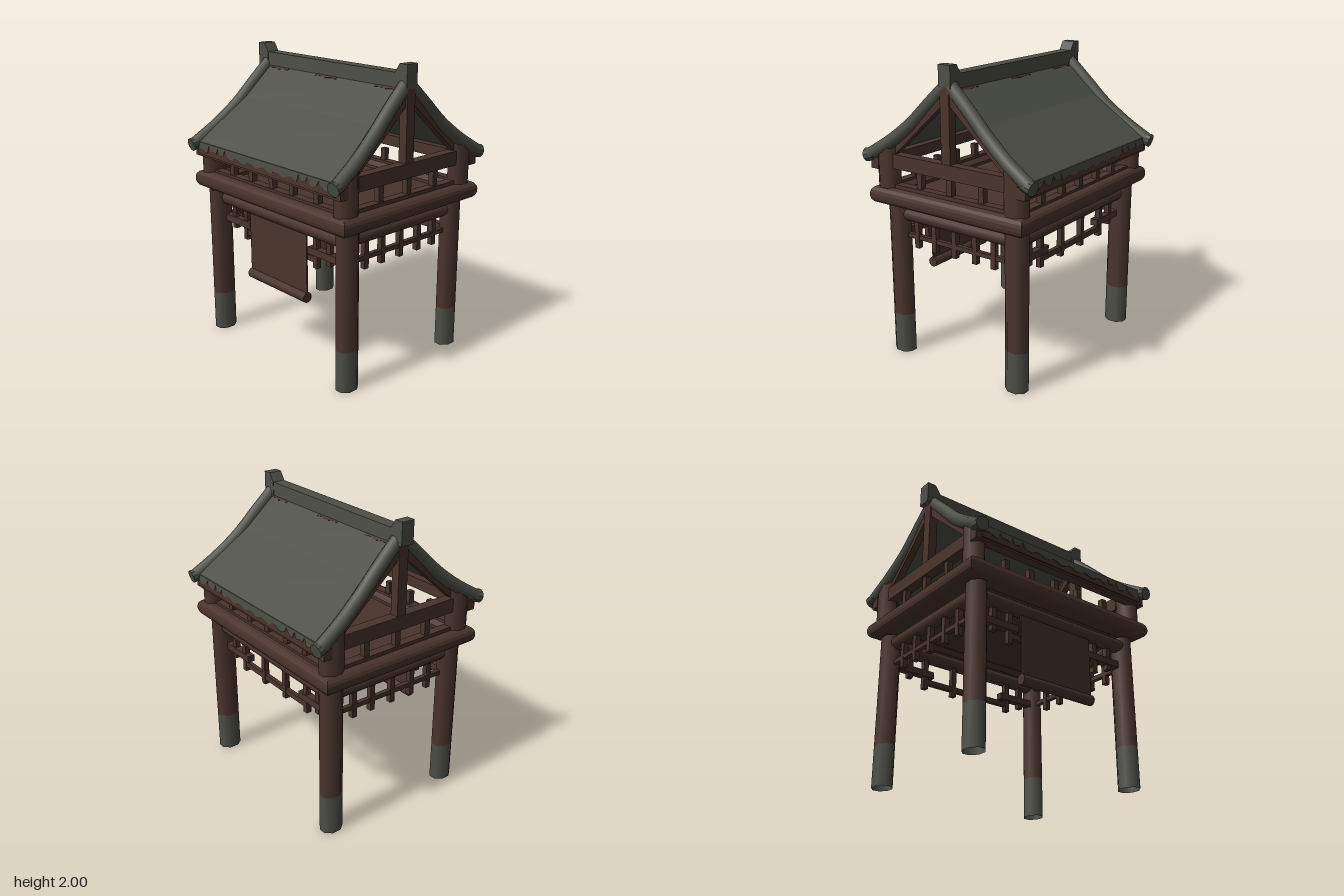
import * as THREE from 'three';

export function createModel() {
  const root = new THREE.Group();
  const wood = new THREE.MeshStandardMaterial({ color: 0x4b342c, side: THREE.DoubleSide });
  wood.name = 'dark brown wood';
  const slate = new THREE.MeshStandardMaterial({ color: 0x4d4f47, side: THREE.DoubleSide });
  slate.name = 'grey green slate';

  // helpers: mesh, box by its limits, upright post, lying beam, extruded outline
  function add(name, geometry, material, smooth = false) {
    const g = smooth || !geometry.index ? geometry : geometry.toNonIndexed();
    if (!smooth) g.computeVertexNormals();
    const mesh = new THREE.Mesh(g, material);
    mesh.name = name;
    root.add(mesh);
    return mesh;
  }
  function box(name, x0, x1, y0, y1, z0, z1, material = wood) {
    const m = add(name, new THREE.BoxGeometry(Math.abs(x1 - x0), y1 - y0, Math.abs(z1 - z0)), material);
    m.position.set((x0 + x1) / 2, (y0 + y1) / 2, (z0 + z1) / 2);
    return m;
  }
  function post(name, width, height, depth, x, y, z, material = wood) {
    const k = 1 / Math.cos(Math.PI / 8);
    const g = new THREE.CylinderGeometry(0.5, 0.5, 1, 8, 1, true).rotateY(Math.PI / 8);
    const m = add(name, g.scale(width * k, height, depth * k), material, true);
    m.position.set(x, y + height / 2, z);
    return m;
  }
  function beam(name, radius, length, alongX, x, y, z) {
    const g = new THREE.CylinderGeometry(radius, radius, length, 12).rotateZ(Math.PI / 2);
    if (!alongX) g.rotateY(Math.PI / 2);
    add(name, g, wood, true).position.set(x, y, z);
  }
  function extrude(points, depth) {
    const shape = new THREE.Shape(points.map(p => new THREE.Vector2(p[0], p[1])));
    const g = new THREE.ExtrudeGeometry(shape, { depth, bevelEnabled: false });
    return g.translate(0, 0, -depth / 2);
  }

  // four hollow legs with slate coloured feet
  for (const sx of [-1, 1]) for (const sz of [-1, 1]) {
    const z = sz < 0 ? -0.483 : (sx < 0 ? 0.49 : 0.46);
    post('legFoot', 0.12, 0.275, 0.147, sx * 0.625, 0, z, slate);
    post('leg', 0.12, 0.77, 0.147, sx * 0.625, 0.275, z);
  }

  // round lower beams between the legs
  for (const sz of [-1, 1]) beam('lowerBeam', 0.047, 1.19, true, 0.01, 0.985, sz * 0.475);
  for (const sx of [-1, 1]) beam('sideLowerBeam', 0.047, 0.9, false, sx * 0.615, 0.988, 0.03);

  // hanging lattice, sides
  for (const sx of [-1, 1]) {
    box('sideLatticeRail', sx * 0.605, sx * 0.635, 0.83, 0.86, -0.42, 0.46);
    for (const z of [-0.31, -0.165, 0, 0.165, 0.31])
      box('sideLatticeStick', sx * 0.602, sx * 0.638, 0.77, 0.99, z - 0.018, z + 0.018);
  }
  // hanging lattice, front and back
  for (const sz of [-1, 1]) {
    const z = sz * 0.465;
    for (const sx of [-1, 1]) {
      box('latticeRail', sx * 0.295, sx * 0.58, 0.82, 0.867, z - 0.025, z + 0.025);
      for (const [x, y] of [[0.48, 0.785], [0.355, 0.735], [0.12, 0.735]])
        box('latticeStick', sx * (x - 0.018), sx * (x + 0.018), y, 0.96, z - 0.018, z + 0.018);
    }
    box('lowLatticeRail', -0.37, 0.37, 0.77, 0.807, z - 0.014, z + 0.014);
  }

  // hanging cloth with its bottom roll
  box('cloth', -0.283, 0.29, 0.51, 0.96, 0.486, 0.496);
  beam('clothRoll', 0.035, 0.576, true, 0.003, 0.516, 0.491);

  // mitred frame with a rounded section
  const section = [[0.48, 1.055], [0.572, 1.055], [0.588, 1.063], [0.6, 1.08], [0.605, 1.1], [0.605, 1.125],
    [0.6, 1.145], [0.588, 1.162], [0.572, 1.17], [0.48, 1.17], [0.45, 1.14], [0.45, 1.085], [0.48, 1.055]];
  const ring = new THREE.LatheGeometry(
    section.map(([r, y]) => new THREE.Vector2(r * Math.SQRT2, y)), 4, Math.PI / 4);
  add('frame', ring.scale(1.24, 1, 1), wood);
  box('ceiling', -0.6, 0.6, 1.09, 1.12, -0.48, 0.48);

  // upper corner posts, cut to the roof slope, and railings
  for (const sx of [-1, 1]) for (const sz of [-1, 1]) {
    const corner = post('upperPost', 0.12, 0.28, 0.155, sx * 0.66, 1.165, sz * 0.505);
    const p = corner.geometry.attributes.position;
    for (let i = 0; i < p.count; i++) if (p.getY(i) > 0) p.setY(i, 0.13 - sz * p.getZ(i) * 0.8);
  }
  for (const sz of [-1, 1]) {
    box('railing', -0.61, 0.61, 1.16, 1.187, sz * 0.48, sz * 0.54);
    for (const x of [-0.42, -0.22, -0.01, 0.19, 0.42])
      box('railingPost', x - 0.02, x + 0.02, 1.18, 1.272, sz * 0.49, sz * 0.53);
    box('eaveBeam', -0.72, 0.72, 1.285, 1.36, sz * 0.545, sz * 0.608);
    box('eaveBoard', -0.68, 0.68, 1.3, 1.386, sz * 0.608, sz * 0.617);
  }

  // gable ends: rail, tie beam, king post and rafters
  for (const sx of [-1, 1]) {
    box('gableRail', sx * 0.63, sx * 0.69, 1.16, 1.195, -0.44, 0.44);
    for (const z of [-0.255, -0.01, 0.235])
      box('gableRailPost', sx * 0.64, sx * 0.68, 1.19, 1.31, z - 0.02, z + 0.02);
    box('tieBeam', sx * 0.625, sx * 0.695, 1.3, 1.395, -0.44, 0.44);
    box('kingPost', sx * 0.63, sx * 0.69, 1.38, 1.87, -0.032, 0.038);
    for (const sz of [-1, 1]) {
      const rafter = extrude([[0, 1.87], [0, 1.78], [0.44, 1.385], [0.5, 1.43], [0.26, 1.64]]
        .map(([z, y]) => [sz * z, y]), 0.05).rotateY(-Math.PI / 2);
      add('rafter', rafter, wood).position.x = sx * 0.655;
    }
  }

  // roof: bent slopes that widen toward the eaves
  const top = [[0.615, 1.388], [0.25, 1.655], [0, 1.885]];
  const under = [[0, 1.845], [0.25, 1.625], [0.615, 1.35]];
  for (const sz of [-1, 1]) {
    const g = extrude([...top, ...under].map(([z, y]) => [sz * z, y]), 2).rotateY(-Math.PI / 2);
    const p = g.attributes.position;
    for (let i = 0; i < p.count; i++) p.setX(i, p.getX(i) * (0.635 + 0.08 * Math.abs(p.getZ(i))));
    add('roofSlope', g, slate);

    // ragged tile edge with gaps that bare the eave board
    const edge = [[-0.67, 1.388]];
    for (let i = 0; i <= 67; i++) {
      const x = -0.67 + i * 0.02;
      const gap = [0.37, 0.45, 0.55].some(c => Math.abs(Math.abs(x) - c) < 0.017);
      edge.push([x, gap ? 1.376 : 1.337 + 0.01 * Math.sin(i * 0.95)]);
    }
    edge.push([0.67, 1.388]);
    add('tileEdge', extrude(edge, 0.006), slate).position.z = sz * 0.618;

    // worn wood patches below the ridge
    for (const [x, w] of [[-0.5, 0.2], [-0.02, 0.2], [0.52, 0.19]]) {
      const patch = extrude([[-w / 2, 0.03], [-w / 2, -0.012], [-w / 4, -0.008], [0, -0.018],
        [w / 4, -0.008], [w / 2, -0.014], [w / 2, 0.03]], 0.006);
      const m = add('wornPatch', patch, wood);
      m.position.set(x, 1.847, sz * 0.043);
      m.rotation.x = -sz * 0.75;
    }

    // curved roof ribs with flared ends
    for (const sx of [-1, 1]) {
      const path = [[0.648, 1.875, 0.01], [0.655, 1.735, 0.16], [0.665, 1.6, 0.3], [0.685, 1.475, 0.46], [0.703, 1.375, 0.62]]
        .map(([x, y, z]) => new THREE.Vector3(sx * x, y, sz * z));
      const curve = new THREE.CatmullRomCurve3(path);
      add('roofRib', new THREE.TubeGeometry(curve, 14, 0.044, 10), slate, true);
      const knob = add('ribEnd', new THREE.CylinderGeometry(0.046, 0.04, 0.07, 10), slate);
      knob.position.set(sx * 0.704, 1.371, sz * 0.622);
      knob.quaternion.setFromUnitVectors(new THREE.Vector3(0, 1, 0),
        new THREE.Vector3(sx * 0.1, -0.25, sz).normalize());
    }
  }

  // ridge with raised ends
  box('ridge', -0.65, 0.62, 1.85, 1.943, -0.043, 0.043, slate);
  for (const sx of [-1, 1]) {
    const end = extrude([[0.052, 1.85], [0.052, 2], [-0.01, 2], [-0.048, 1.943], [-0.048, 1.85]]
      .map(([x, y]) => [sx * x, y]), 0.092);
    add('ridgeEnd', end, slate).position.x = sx < 0 ? -0.668 : 0.638;
  }
  return root;
}
